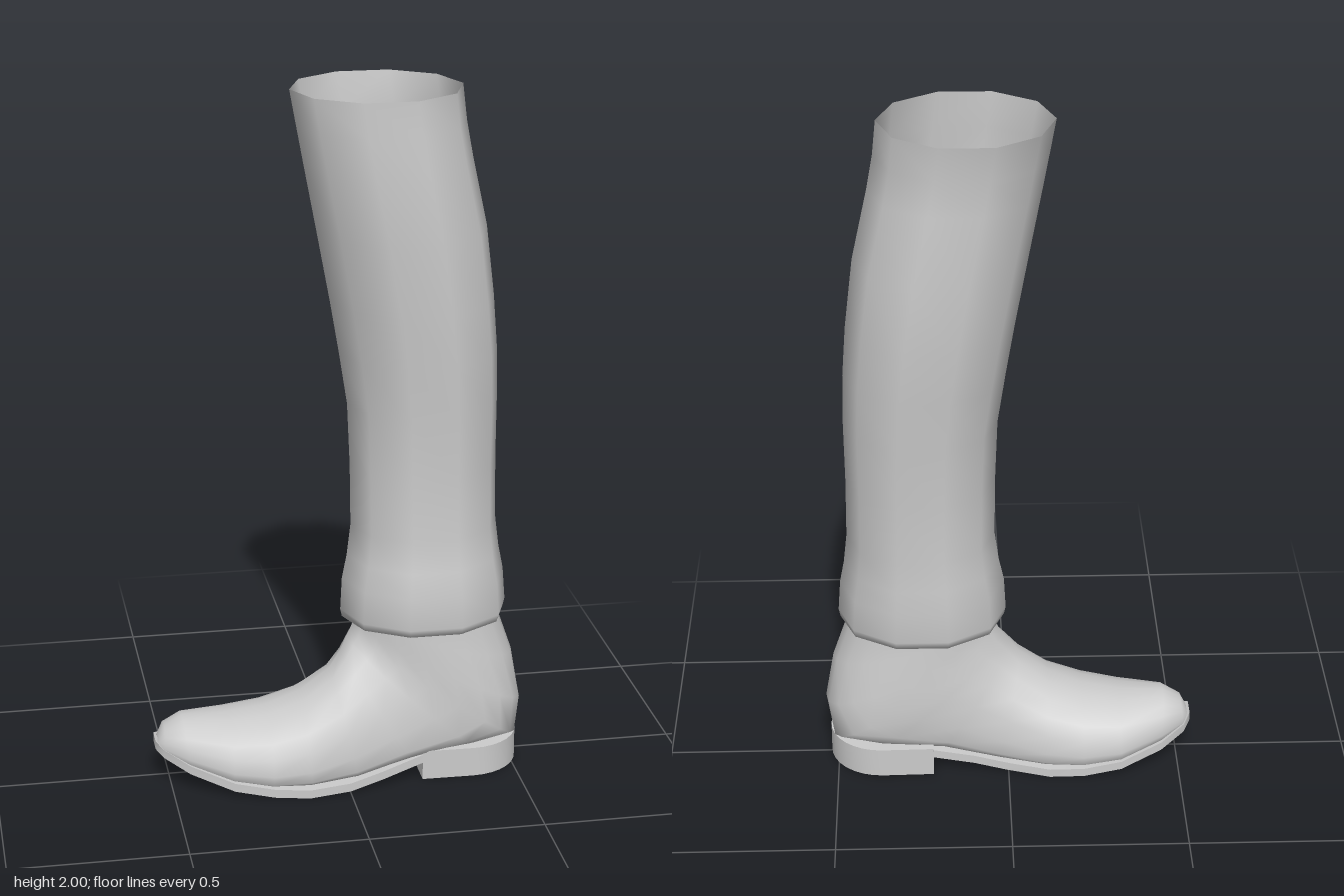
import * as THREE from 'three';
import { toCreasedNormals } from 'three/addons/utils/BufferGeometryUtils.js';

const material = new THREE.MeshStandardMaterial({ color: 0xcccccc, side: THREE.DoubleSide });

// Skin over a list of rings, each a closed loop of the same number of points.
function loft(rings, caps = false) {
  const n = rings[0].length;
  const index = [];
  for (let i = 0; i < rings.length - 1; i++) {
    for (let j = 0; j < n; j++) {
      const k = (j + 1) % n;
      const a = i * n + j, b = (i + 1) * n + j, c = (i + 1) * n + k, d = i * n + k;
      index.push(a, b, c, a, c, d);
    }
  }
  if (caps) {
    const last = (rings.length - 1) * n;
    for (let j = 1; j < n - 1; j++) {
      index.push(0, j, j + 1, last, last + j + 1, last + j);
    }
  }
  const geometry = new THREE.BufferGeometry();
  geometry.setAttribute('position', new THREE.Float32BufferAttribute(rings.flat(2), 3));
  geometry.setIndex(index);
  geometry.computeVertexNormals();
  return geometry;
}

function addMesh(group, name, geometry) {
  const mesh = new THREE.Mesh(geometry, material);
  mesh.name = name;
  group.add(mesh);
}

// Ten-sided horizontal ring filling the given x and z ranges.
function legRing([y, x0, x1, z0, z1]) {
  const ring = [];
  for (let j = 0; j < 10; j++) {
    const a = (j / 10) * Math.PI * 2;
    ring.push([
      (x0 + x1) / 2 + ((x1 - x0) / 2) * Math.cos(a),
      y,
      (z0 + z1) / 2 + ((z1 - z0) / 2) * Math.sin(a) / 0.951,
    ]);
  }
  return ring;
}

// Boot section from a top point to a bottom point; "widest" lowers the
// broadest place and "power" squares off the underside.
function bootRing([tx, ty, bx, by, z0, z1, widest, power]) {
  const ring = [];
  const n = 20;
  for (let j = 0; j < n; j++) {
    const a = (j / n) * Math.PI * 2;
    const c = Math.cos(a), s = Math.sin(a);
    const e = c < -1e-6 ? power : 1;
    const v = c > 0 ? widest + (1 - widest) * c : widest - (1 + widest) * Math.pow(-c, e);
    const w = Math.sign(s) * Math.pow(Math.abs(s), e);
    ring.push([
      (tx + bx) / 2 + ((tx - bx) / 2) * v,
      (ty + by) / 2 + ((ty - by) / 2) * v,
      (z0 + z1) / 2 - ((z1 - z0) / 2) * w,
    ]);
  }
  return ring;
}

export function createModel() {
  const group = new THREE.Group();

  // Trouser leg: y, x range, z range, from the turned hem up to the open top
  const leg = [
    [0.49, 0.04, 0.46, -0.16, 0.17],
    [0.462, 0.01, 0.485, -0.18, 0.195],
    [0.485, 0.005, 0.49, -0.188, 0.205],
    [0.58, 0.01, 0.483, -0.192, 0.205],
    [0.65, 0.025, 0.47, -0.188, 0.19],
    [0.74, 0.037, 0.46, -0.185, 0.175],
    [0.92, 0.035, 0.458, -0.186, 0.17],
    [1.1, 0.028, 0.46, -0.2, 0.175],
    [1.25, 0.005, 0.457, -0.212, 0.185],
    [1.4, -0.02, 0.446, -0.224, 0.192],
    [1.6, -0.057, 0.422, -0.228, 0.2],
    [1.8, -0.095, 0.378, -0.218, 0.2],
    [1.9, -0.113, 0.36, -0.215, 0.192],
    [2.0, -0.13, 0.35, -0.23, 0.19],
  ];
  addMesh(group, 'trouserLeg', loft(leg.map(legRing)));

  // Boot upper: sections fan from the toe round the heel and up the shaft
  const upper = [
    [-0.532, 0.125, -0.537, 0.1, -0.02, 0.04, -0.2, 0.8],
    [-0.512, 0.165, -0.52, 0.09, -0.055, 0.07, -0.4, 0.6],
    [-0.46, 0.19, -0.45, 0.065, -0.1, 0.12, -0.5, 0.55],
    [-0.33, 0.192, -0.33, 0.03, -0.15, 0.182, -0.5, 0.5],
    [-0.22, 0.21, -0.22, 0.015, -0.16, 0.21, -0.5, 0.5],
    [-0.12, 0.25, -0.11, 0.012, -0.15, 0.215, -0.5, 0.5],
    [-0.035, 0.315, 0.03, 0.02, -0.125, 0.205, -0.45, 0.5],
    [0, 0.365, 0.2, 0.055, -0.12, 0.185, -0.4, 0.5],
    [0.02, 0.4, 0.38, 0.075, -0.135, 0.168, -0.3, 0.5],
    [0.035, 0.43, 0.517, 0.085, -0.14, 0.168, -0.2, 0.75],
    [0.043, 0.455, 0.535, 0.19, -0.135, 0.165, -0.1, 0.9],
    [0.048, 0.48, 0.51, 0.33, -0.125, 0.157, 0, 1],
    [0.05, 0.5, 0.465, 0.46, -0.12, 0.152, 0, 1],
    [0.055, 0.56, 0.455, 0.56, -0.125, 0.152, 0, 1],
  ];
  addMesh(group, 'bootUpper', loft(upper.map(bootRing)));

  // Sole: x, underside height, z range
  const sole = [
    [-0.54, 0.1, -0.02, 0.04],
    [-0.52, 0.085, -0.06, 0.07],
    [-0.45, 0.055, -0.11, 0.128],
    [-0.33, 0.02, -0.155, 0.19],
    [-0.22, 0.005, -0.166, 0.217],
    [-0.12, 0, -0.16, 0.23],
    [0, 0.006, -0.13, 0.218],
    [0.1, 0.025, -0.118, 0.195],
    [0.22, 0.052, -0.125, 0.165],
    [0.3, 0.06, -0.125, 0.165],
  ].map(([x, y, z0, z1]) => [[x, y + 0.025, z1], [x, y + 0.025, z0], [x, y, z0], [x, y, z1]]);
  addMesh(group, 'sole', toCreasedNormals(loft(sole, true), 0.7));

  // Heel block: straight breast, rounded back
  const outline = new THREE.Shape();
  outline.moveTo(0.22, -0.135);
  outline.lineTo(0.37, -0.138);
  outline.absellipse(0.37, 0.015, 0.153, 0.153, -Math.PI / 2, Math.PI / 2, false, 0);
  outline.lineTo(0.22, 0.165);
  outline.closePath();
  const heel = new THREE.ExtrudeGeometry(outline, { depth: 0.088, bevelEnabled: false, curveSegments: 8 });
  heel.rotateX(Math.PI / 2).translate(0, 0.088, 0);
  addMesh(group, 'heel', toCreasedNormals(heel, 0.7));

  return group;
}
